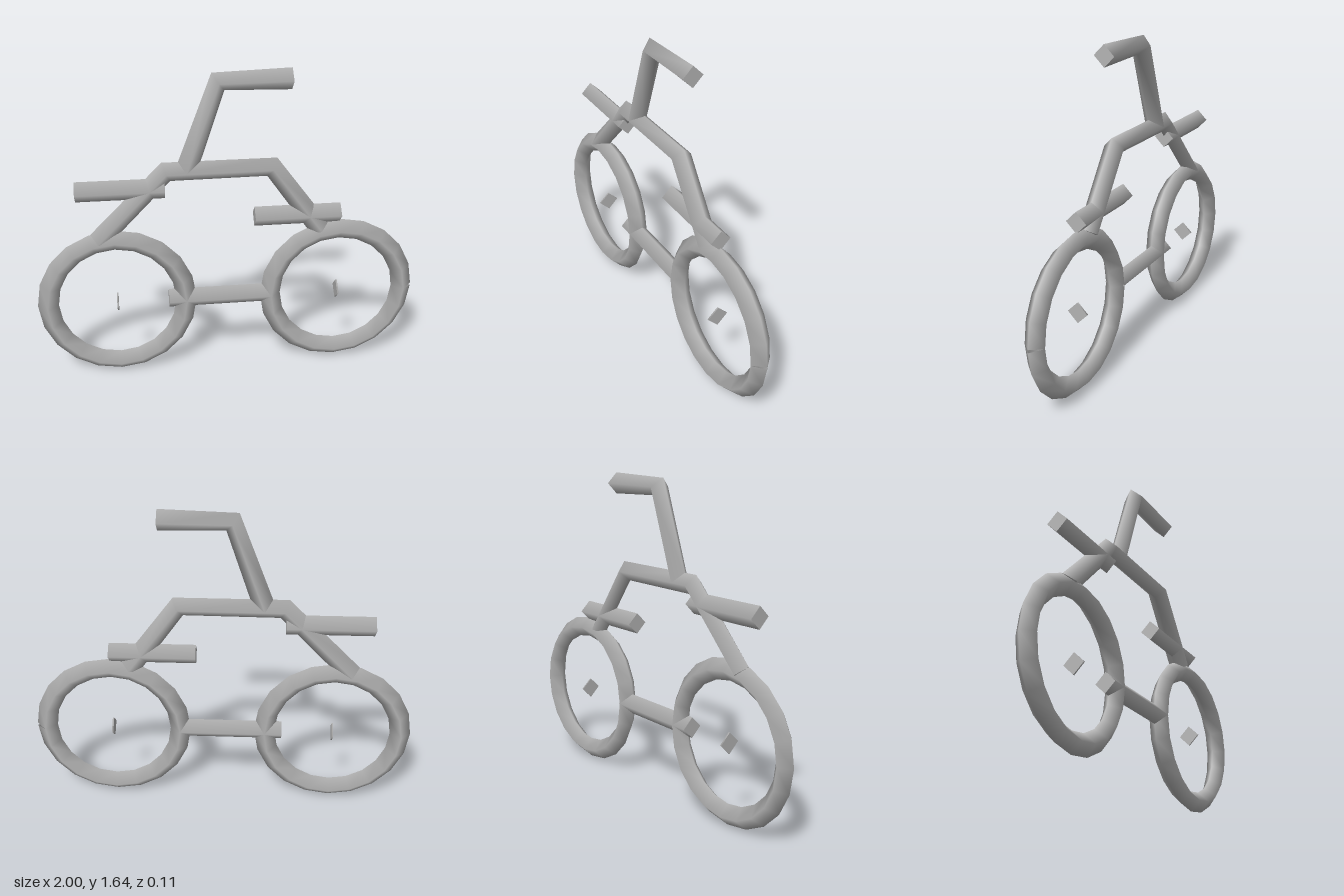
import * as THREE from 'three';

const TUBE = 0.054; // radius of every four-sided tube
const WHEEL = 0.361;
const AXLE_Y = 0.415;
const AXLE_X = 0.585;

// Capped diamond-section tube along points [x, y] in the plane z = 0
function tubeGeometry(path) {
  const pts = path.map(([x, y]) => new THREE.Vector3(x, y, 0));
  const last = pts.length - 1;
  const dirs = pts.slice(1).map((p, i) => p.clone().sub(pts[i]).normalize());
  const position = [], normal = [], index = [];
  const tangents = pts.map((p, i) =>
    dirs[Math.max(i - 1, 0)].clone().add(dirs[Math.min(i, last - 1)]).normalize());

  const addRing = (i, flat) => {
    const t = tangents[i];
    for (let j = 0; j < 4; j++) {
      const a = j * Math.PI / 2;
      const out = new THREE.Vector3(-t.y * Math.cos(a), t.x * Math.cos(a), Math.sin(a));
      position.push(...pts[i].clone().addScaledVector(out, TUBE).toArray());
      normal.push(...(flat || out).toArray());
    }
  };

  // Smooth sides
  pts.forEach((p, i) => addRing(i));
  for (let i = 0; i < last; i++) {
    for (let j = 0; j < 4; j++) {
      const a = i * 4 + j, b = i * 4 + (j + 1) % 4;
      index.push(a, b, a + 4, b, b + 4, a + 4);
    }
  }
  // Flat end caps
  const s = position.length / 3;
  addRing(0, tangents[0].clone().negate());
  addRing(last, tangents[last]);
  index.push(s, s + 3, s + 2, s, s + 2, s + 1);
  index.push(s + 4, s + 5, s + 6, s + 4, s + 6, s + 7);

  const g = new THREE.BufferGeometry();
  g.setAttribute('position', new THREE.Float32BufferAttribute(position, 3));
  g.setAttribute('normal', new THREE.Float32BufferAttribute(normal, 3));
  g.setIndex(index);
  return g;
}

// Diamond-section ring with a small wedge-shaped notch at its seam
function wheelGeometry() {
  const segments = 20;
  const g = new THREE.TorusGeometry(WHEEL, TUBE, 4, segments);
  const p = g.attributes.position;
  for (let j = 0; j <= 4; j++) {
    const first = j * (segments + 1);
    const tilt = (p.getX(first) - WHEEL) * 0.14;
    p.setY(first, tilt);
    p.setY(first + segments, -tilt);
  }
  return g;
}

export function createModel() {
  const model = new THREE.Group();
  model.name = 'bicycle';
  const grey = new THREE.MeshStandardMaterial({ color: 0xb3b3b3, side: THREE.DoubleSide });
  grey.name = 'grey';

  const add = (name, geometry) => {
    const mesh = new THREE.Mesh(geometry, grey);
    mesh.name = name;
    model.add(mesh);
    return mesh;
  };

  // Wheels and their thin hubs
  for (const [side, x] of [['right', -AXLE_X], ['left', AXLE_X]]) {
    add(side + 'Wheel', wheelGeometry()).position.set(x, AXLE_Y, 0);
    add(side + 'Hub', tubeGeometry([[x - 0.004, AXLE_Y], [x + 0.004, AXLE_Y]]));
  }

  // Bent frame from wheel to wheel
  add('frame', tubeGeometry([[-0.665, 0.775], [-0.312, 1.137], [0.222, 1.139], [0.48, 0.785]]));

  // Stem and handlebar in one piece
  add('handlebar', tubeGeometry([[-0.21, 1.14], [-0.05, 1.587], [0.31, 1.59]]));

  // Straight bars
  add('upperBar', tubeGeometry([[-0.765, 1.05], [-0.32, 1.05]]));
  add('middleBar', tubeGeometry([[0.135, 0.87], [0.583, 0.87]]));
  add('lowerBar', tubeGeometry([[-0.316, 0.418], [0.23, 0.418]]));

  return model;
}
